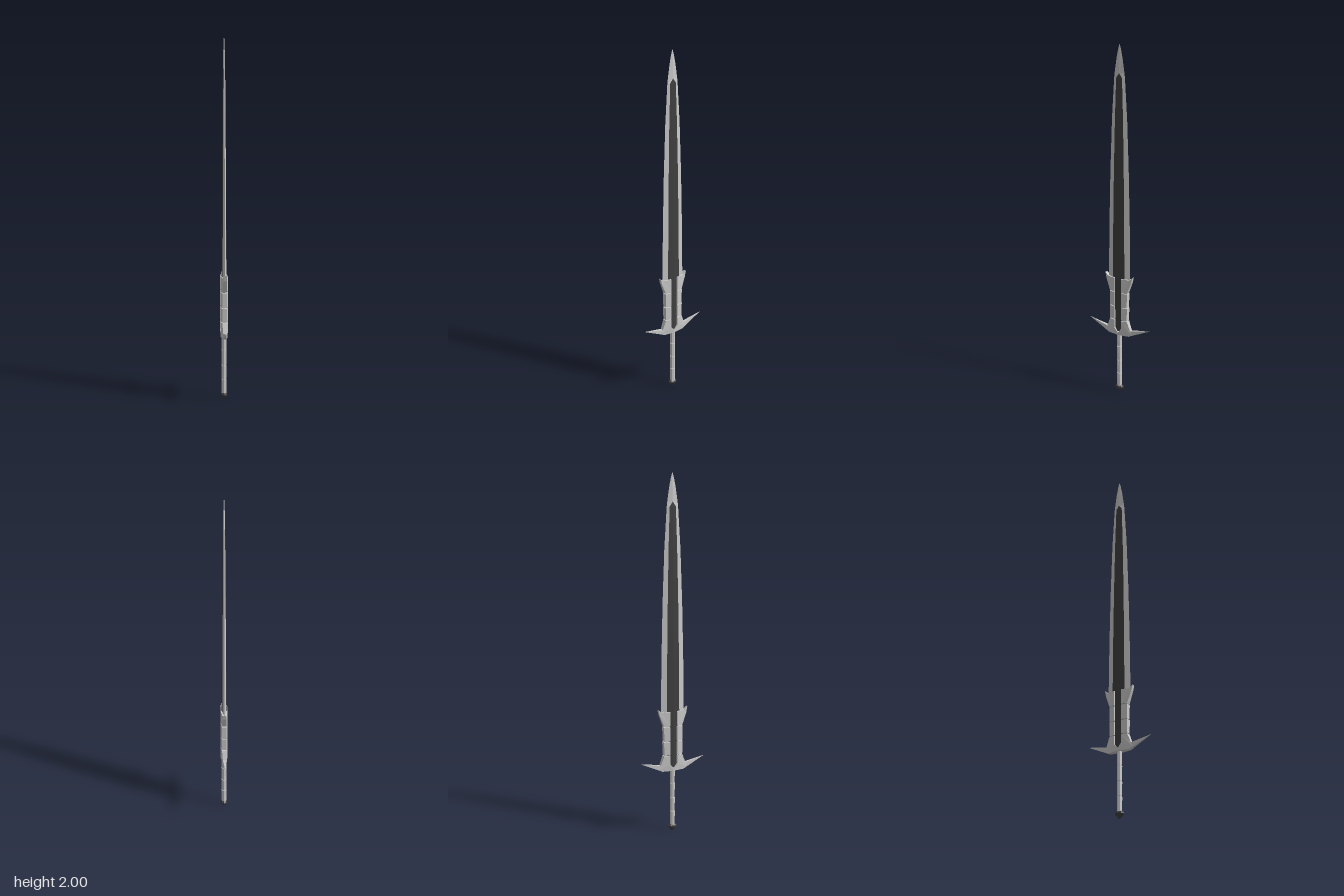
import * as THREE from 'three';

const grey = new THREE.MeshStandardMaterial({ color: 0xcccccc, flatShading: true });
const dark = new THREE.MeshStandardMaterial({ color: 0x404040, flatShading: true });

// Skin six-sided rings [x, z] stacked along y, with flat end caps
function loft(rings) {
  const pos = [], idx = [], n = 6;
  rings.forEach(({ y, ring }) => ring.forEach(([x, z]) => pos.push(x, y, z)));
  for (let r = 0; r < rings.length - 1; r++) {
    for (let i = 0; i < n; i++) {
      const a = r * n + i, b = r * n + (i + 1) % n;
      idx.push(a, b, b + n, a, b + n, a + n);
    }
  }
  const top = (rings.length - 1) * n;
  for (let i = 1; i < n - 1; i++) {
    idx.push(0, i + 1, i, top, top + i, top + i + 1);
  }
  const g = new THREE.BufferGeometry();
  g.setAttribute('position', new THREE.Float32BufferAttribute(pos, 3));
  g.setIndex(idx);
  g.computeVertexNormals();
  return g;
}

// Half thickness of the guard plates, thinning toward the outside
function halfThickness(z) {
  if (z <= 0.02) return 0.02;
  if (z <= 0.07) return 0.02 - (z - 0.02) * 0.2;
  return Math.max(0.0005, 0.01 * (0.195 - z) / 0.125);
}

// Plate outlined in (z, y), with its two faces moved to the tapering thickness
function plate(points) {
  const shape = new THREE.Shape(points.map(([z, y]) => new THREE.Vector2(z, y)));
  const g = new THREE.ExtrudeGeometry(shape, { depth: 1, bevelEnabled: false });
  g.translate(0, 0, -0.5);
  g.rotateY(-Math.PI / 2);
  const p = g.attributes.position;
  for (let i = 0; i < p.count; i++) {
    p.setX(i, Math.sign(p.getX(i)) * halfThickness(p.getZ(i)));
  }
  g.computeVertexNormals();
  return g;
}

export function createModel() {
  const model = new THREE.Group();
  const add = (name, geometry, material = grey, parent = model) => {
    const mesh = new THREE.Mesh(geometry, material);
    mesh.name = name;
    parent.add(mesh);
    return mesh;
  };

  // Blade stations: y, half width, fuller half width, fuller edge x, ridge x
  const stations = [
    [0.38, 0.05, 0.037, 0.010, 0.014],
    [0.68, 0.05, 0.037, 0.010, 0.014],
    [0.69, 0.069, 0.037, 0.010, 0.014],
    [1.0, 0.065, 0.035, 0.009, 0.012],
    [1.3, 0.058, 0.031, 0.008, 0.010],
    [1.6, 0.047, 0.025, 0.006, 0.008],
    [1.82, 0.033, 0.018, 0.005, 0.006],
    [1.845, 0.030, 0.0005, 0.005, 0.005],
    [1.92, 0.019, 0.0005, 0.004, 0.004],
    [1.97, 0.009, 0.0005, 0.002, 0.002],
    [2.0, 0.0002, 0.0001, 0.0002, 0.0002],
  ];
  add('blade', loft(stations.map(([y, w, f, t]) => ({
    y, ring: [[0, w], [t, f], [t, -f], [0, -w], [-t, -f], [-t, f]],
  }))));
  add('bladeFuller', loft(stations.slice(0, 8).map(([y, , f, t, r]) => ({
    y, ring: [[t, f], [r, 0], [t, -f], [-t, -f], [-r, 0], [-t, f]],
  }))), dark);

  // Guard, collar bands and flared horns, mirrored front to back
  for (const [side, turn] of [['front', 0], ['back', Math.PI]]) {
    const half = new THREE.Group();
    half.name = side + 'Guard';
    half.rotation.y = turn;
    model.add(half);
    add('crossguard', plate([
      [0, 0.36], [0.065, 0.36], [0.085, 0.37], [0.195, 0.42],
      [0.075, 0.395], [0.055, 0.448], [0.021, 0.448], [0.021, 0.40], [0, 0.375],
    ]), grey, half);
    for (const [y0, y1] of [[0.452, 0.528], [0.532, 0.614]]) {
      add('collarBand', plate([
        [0.021, y0], [0.054, y0], [0.056, y1], [0.021, y1],
      ]), grey, half);
    }
    add('collarHorn', plate([
      [0.021, 0.618], [0.055, 0.618], [0.08, 0.685],
      [0.087, 0.717], [0.068, 0.70], [0.021, 0.70],
    ]), grey, half);
  }

  // Grip in four lengths separated by narrow grooves
  const joints = [0.035, 0.12, 0.2, 0.285, 0.365];
  for (let i = 0; i < joints.length - 1; i++) {
    const h = joints[i + 1] - joints[i] - 0.004;
    add('gripSection', new THREE.CylinderGeometry(0.0145, 0.0135, h, 8))
      .position.y = (joints[i] + joints[i + 1]) / 2;
  }
  add('gripCore', new THREE.CylinderGeometry(0.011, 0.011, 0.32, 8)).position.y = 0.2;

  // Faceted pommel
  const profile = [[0, 0], [0.007, 0.004], [0.026, 0.026], [0.025, 0.034], [0.012, 0.042], [0, 0.042]];
  add('pommel', new THREE.LatheGeometry(profile.map(([x, y]) => new THREE.Vector2(x, y)), 8), dark)
    .scale.x = 0.7;

  return model;
}
